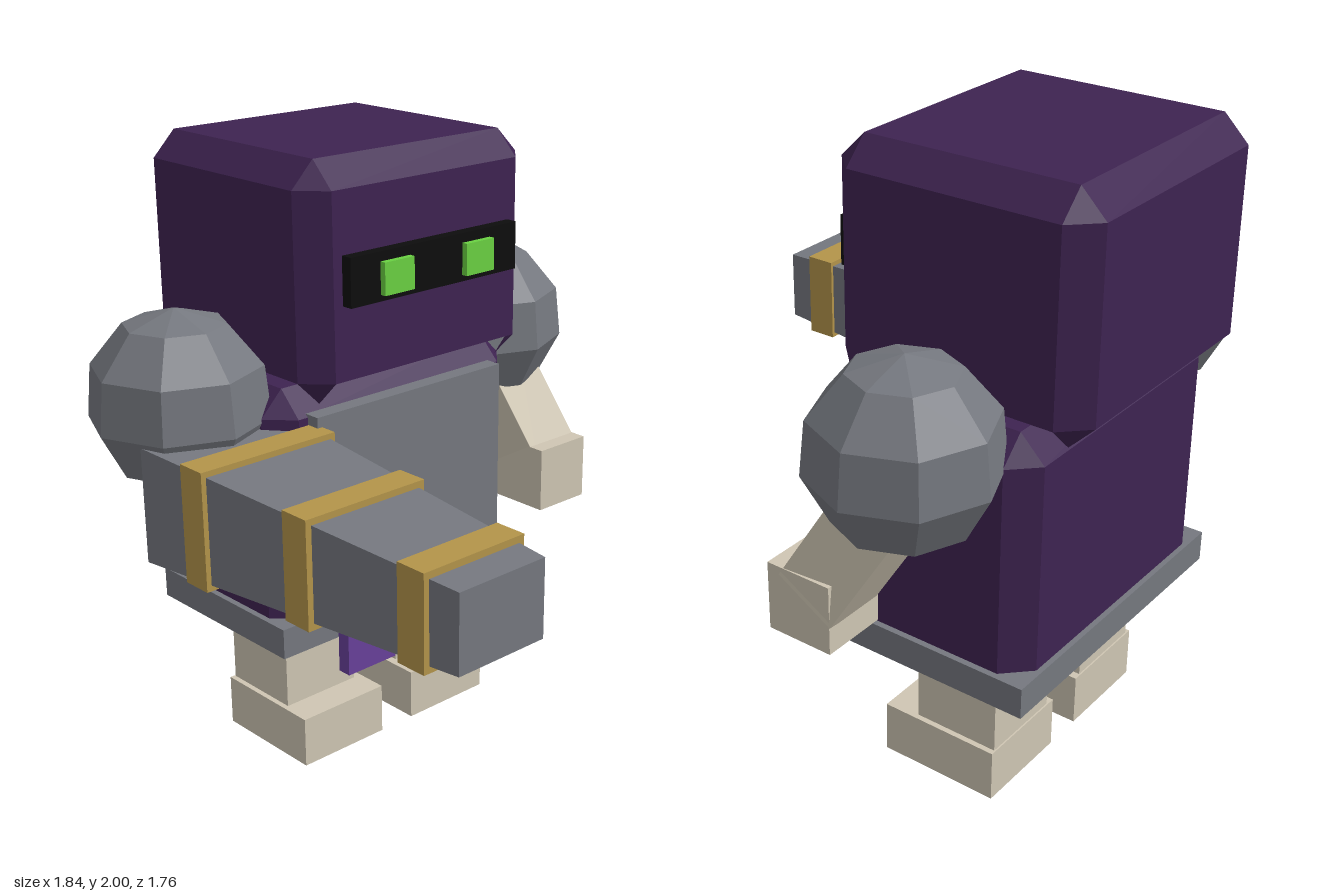
import * as THREE from 'three';

function makeMaterial(name, color) {
  const m = new THREE.MeshStandardMaterial({ color, side: THREE.DoubleSide, flatShading: true });
  m.name = name;
  return m;
}

// Box between min and max corners, optionally without its underside
function boxGeometry(x0, x1, y0, y1, z0, z1, open = false) {
  const g = new THREE.BoxGeometry(x1 - x0, y1 - y0, z1 - z0);
  if (open) {
    const idx = Array.from(g.index.array);
    idx.splice(18, 6);
    g.setIndex(idx);
    g.clearGroups();
  }
  return g.translate((x0 + x1) / 2, (y0 + y1) / 2, (z0 + z1) / 2);
}

// Chamfered shell, open below, with a pointed tab under each corner
function chamferShell(w, d, y0, y1, c) {
  const pos = [];
  const tri = (a, b, e) => pos.push(...a, ...b, ...e);
  const quad = (a, b, e, f) => { tri(a, b, e); tri(a, e, f); };
  const signs = [[1, 1], [1, -1], [-1, -1], [-1, 1]];
  const yTop = y1 - c;
  const corners = signs.map(([sx, sz], i) => {
    const onX = (y) => [sx * w, y, sz * (d - c)];
    const onZ = (y) => [sx * (w - c), y, sz * d];
    const inner = (y) => [sx * (w - c), y, sz * (d - c)];
    // Going round, even corners run from the z face to the x face
    return i % 2 === 0 ? { first: onZ, last: onX, inner } : { first: onX, last: onZ, inner };
  });
  corners.forEach((p, i) => {
    const q = corners[(i + 1) % 4];
    quad(p.first(y0), p.last(y0), p.last(yTop), p.first(yTop));
    quad(p.last(y0), q.first(y0), q.first(yTop), p.last(yTop));
    quad(p.last(yTop), q.first(yTop), q.inner(y1), p.inner(y1));
    tri(p.first(yTop), p.last(yTop), p.inner(y1));
    tri(p.last(y0), p.first(y0), p.inner(y0 - c));
  });
  quad(...corners.map((p) => p.inner(y1)));
  const g = new THREE.BufferGeometry();
  g.setAttribute('position', new THREE.Float32BufferAttribute(pos, 3));
  g.computeVertexNormals();
  return g;
}

export function createModel() {
  const group = new THREE.Group();
  const purple = makeMaterial('dark purple', 0x3e2351);
  const steel = makeMaterial('steel grey', 0x75787f);
  const bone = makeMaterial('bone', 0xcfc6b3);
  const cloth = makeMaterial('violet cloth', 0x68419a);
  const gold = makeMaterial('gold', 0xb3944a);
  const black = makeMaterial('black', 0x0d0d0d);
  const green = makeMaterial('green glow', 0x6ad142);

  const add = (name, geometry, material) => {
    const mesh = new THREE.Mesh(geometry, material);
    mesh.name = name;
    group.add(mesh);
    return mesh;
  };

  // Head and face
  const zMid = -0.465;
  add('head', chamferShell(0.45, 0.418, 1.35, 2, 0.08), purple).position.z = zMid;
  add('visor', boxGeometry(-0.337, 0.337, 1.58, 1.73, -0.06, -0.01), black);

  // Torso
  add('torso', chamferShell(0.5, 0.3, 0.56, 1.3, 0.08), purple).position.z = zMid;
  add('chestPlate', boxGeometry(-0.385, 0.385, 0.66, 1.23, -0.19, -0.12), steel);
  add('belt', boxGeometry(-0.52, 0.52, 0.46, 0.56, -0.782, -0.148, true), steel);

  // Mirrored pairs
  for (const s of [1, -1]) {
    const side = s > 0 ? 'left' : 'right';
    const pair = (a, b) => (s > 0 ? [a, b] : [-b, -a]);
    add(side + 'Eye', boxGeometry(...pair(0.107, 0.223), 1.6, 1.7, -0.02, 0.01), green);
    add(side + 'Tasset', boxGeometry(...pair(0.1, 0.3), 0.34, 0.675, -0.148, -0.1), cloth);
    add(side + 'Leg', boxGeometry(...pair(0.095, 0.382), 0.17, 0.47, -0.605, -0.32), bone);
    add(side + 'Foot', boxGeometry(...pair(0.067, 0.4), 0, 0.17, -0.61, -0.21, true), bone);
    // Faceted pauldron, open below
    add(side + 'Pauldron',
      new THREE.SphereGeometry(0.285, 8, 4, 0, Math.PI * 2, 0, Math.PI * 0.75), steel)
      .position.set(s * 0.638, 1.265, zMid);
  }

  // Arms: slanted boxes running from shoulder to wrist
  const arm = (name, from, to) => {
    const a = new THREE.Vector3(...from), b = new THREE.Vector3(...to);
    const y = a.clone().sub(b).normalize();
    const x = new THREE.Vector3(1, 0, 0).addScaledVector(y, -y.x).normalize();
    const z = x.clone().cross(y);
    const mesh = add(name, new THREE.BoxGeometry(0.21, a.distanceTo(b), 0.21), bone);
    mesh.quaternion.setFromRotationMatrix(new THREE.Matrix4().makeBasis(x, y, z));
    mesh.position.copy(a).add(b).multiplyScalar(0.5);
  };
  arm('leftArm', [0.635, 1.2, -0.485], [0.708, 0.78, -0.24]);
  arm('rightArm', [-0.635, 1.2, -0.46], [-0.62, 1.02, -0.34]);
  add('leftHand', boxGeometry(0.595, 0.81, 0.65, 0.87, -0.335, -0.115, true), bone);

  // Arm cannon: box tapering toward the front
  const barrel = new THREE.BoxGeometry(2, 2, 1.23);
  const p = barrel.attributes.position;
  for (let i = 0; i < p.count; i++) {
    const front = p.getZ(i) > 0;
    p.setX(i, p.getX(i) * (front ? 0.153 : 0.249));
    p.setY(i, p.getY(i) * (front ? 0.117 : 0.181));
  }
  barrel.computeVertexNormals();
  add('cannonBarrel', barrel, steel).position.set(-0.61, 1.013, 0.265);
  // Gold bands: back z, half width, half height
  for (const [z, w, h] of [[-0.162, 0.243, 0.184], [0.26, 0.213, 0.164], [0.68, 0.179, 0.143]]) {
    add('cannonBand', boxGeometry(-0.61 - w, -0.61 + w, 1.013 - h, 1.013 + h, z, z + 0.1), gold);
  }
  return group;
}
